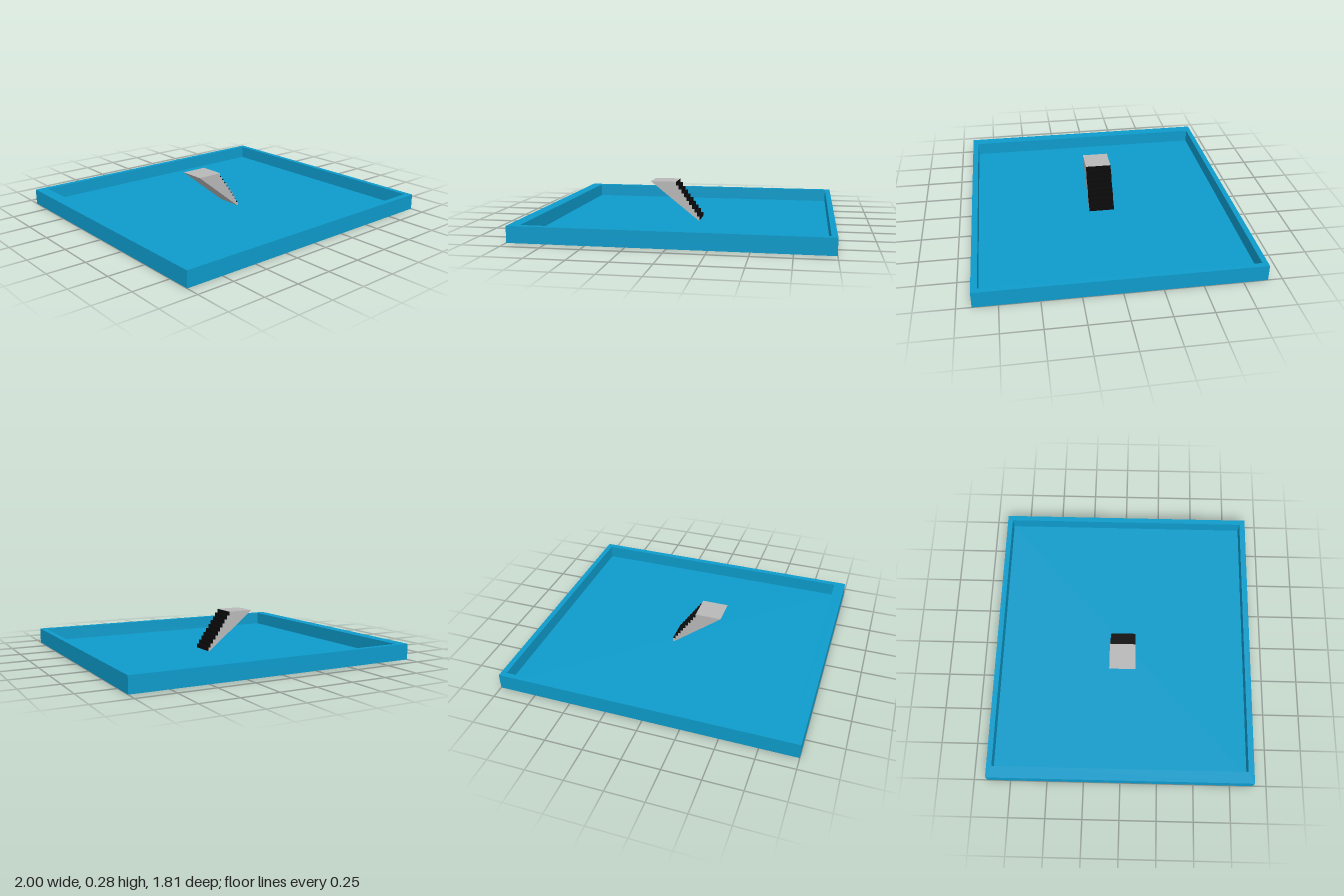
import * as THREE from 'three';

export function createModel() {
  const model = new THREE.Group();
  const blue = new THREE.MeshStandardMaterial({ color: 0x0e9bcb });
  blue.name = 'tray blue';
  const grey = new THREE.MeshStandardMaterial({ color: 0xb8b8b8 });
  grey.name = 'ramp grey';
  const black = new THREE.MeshStandardMaterial({ color: 0x0a0a0a });
  black.name = 'step black';

  const add = (name, geometry, material) => {
    const mesh = new THREE.Mesh(geometry, material);
    mesh.name = name;
    model.add(mesh);
    return mesh;
  };
  const rectangle = (x0, y0, x1, y1) => [[x0, y0], [x1, y0], [x1, y1], [x0, y1]]
    .map(([x, y]) => new THREE.Vector2(x, y));

  // Tray rim: slightly thicker on its right side
  const floorY = 0.015, rimY = 0.107;
  const rim = new THREE.Shape(rectangle(-1, -0.907, 1, 0.907));
  rim.holes.push(new THREE.Path(rectangle(-0.922, -0.867, 0.963, 0.871)));
  const rimGeometry = new THREE.ExtrudeGeometry(rim, { depth: rimY, bevelEnabled: false });
  add('trayRim', rimGeometry.rotateX(-Math.PI / 2), blue);

  // Tray floor fills the rim opening
  const floor = new THREE.BoxGeometry(1.885, floorY, 1.738);
  add('trayFloor', floor.translate(0.0205, floorY / 2, -0.002), blue);

  // Leaning wedge with a stepped face, drawn from the side
  const topY = 0.285, steps = 10, startX = -0.09, endX = 0.078;
  const rise = (topY - floorY) / steps, run = (endX - startX) / (steps - 1);
  const profile = [new THREE.Vector2(-0.27, topY), new THREE.Vector2(0.068, floorY)];
  for (let i = steps - 1; i >= 0; i--) {
    const x = startX + i * run, y = topY - i * rise;
    profile.push(new THREE.Vector2(x, y - rise), new THREE.Vector2(x, y));
  }
  const wedge = new THREE.ExtrudeGeometry(new THREE.Shape(profile), { depth: 0.178, bevelEnabled: false });
  wedge.translate(0, 0, -0.09);

  // Treads and risers are black, every other face is grey
  const position = wedge.attributes.position, normal = wedge.attributes.normal;
  wedge.clearGroups();
  for (let i = 0; i < position.count; i += 3) {
    const riser = normal.getX(i) > 0.9;
    const tread = normal.getY(i) > 0.9 && position.getY(i) < topY - rise / 2;
    wedge.addGroup(i, 3, riser || tread ? 1 : 0);
  }
  add('steppedWedge', wedge, [grey, black]);

  return model;
}
